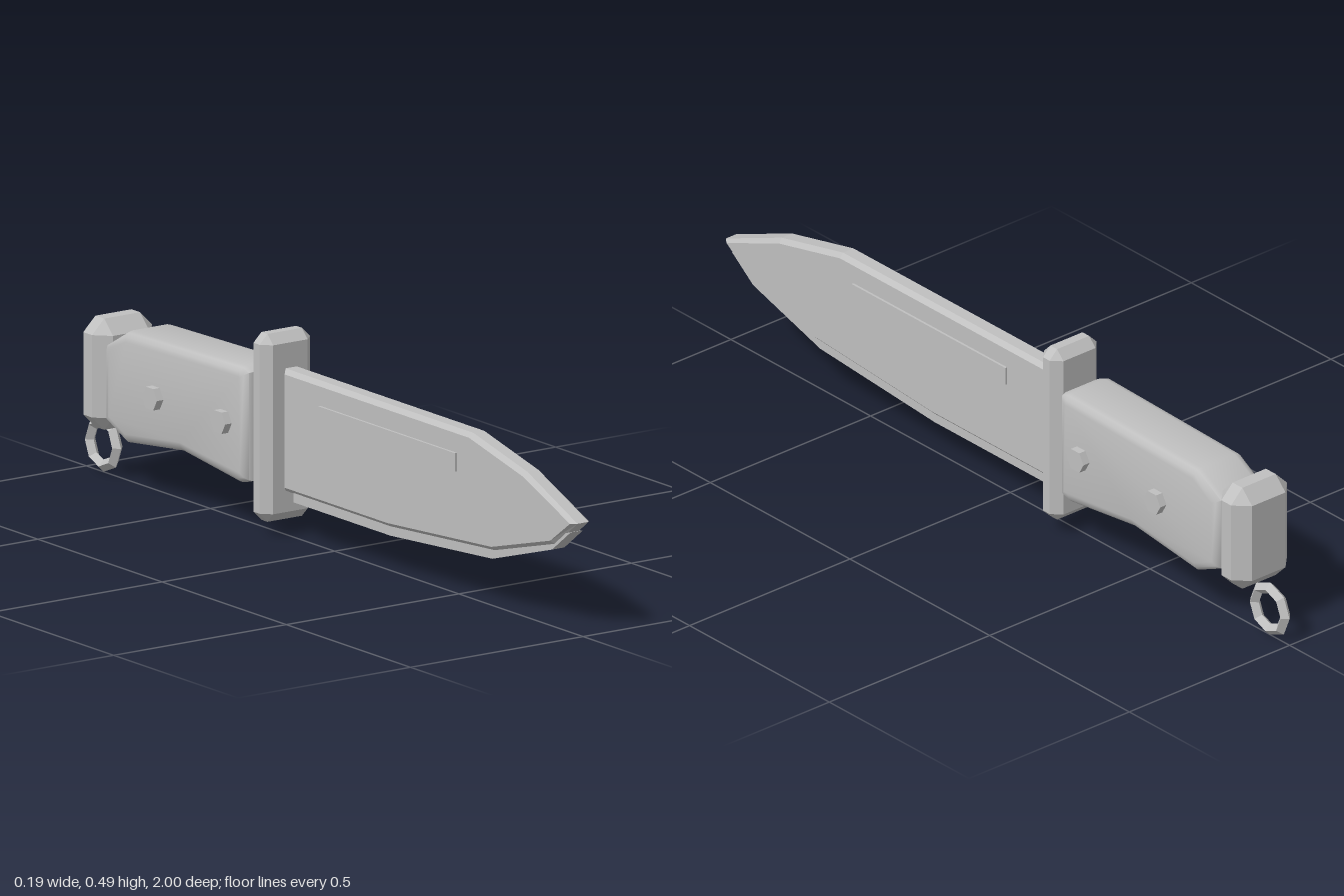
import * as THREE from 'three';
import { toCreasedNormals } from 'three/addons/utils/BufferGeometryUtils.js';
import { ConvexGeometry } from 'three/addons/geometries/ConvexGeometry.js';

// Side outline given as [z, y] points, extruded across x to a half width, with an inward bevel
function sideExtrude(points, halfWidth, bevel = 0, segments = 1) {
  const shape = new THREE.Shape(points.map(([z, y]) => new THREE.Vector2(z, y)));
  const depth = 2 * (halfWidth - bevel);
  const geometry = new THREE.ExtrudeGeometry(shape, {
    depth, bevelEnabled: bevel > 0, bevelSize: bevel, bevelThickness: bevel,
    bevelOffset: -bevel, bevelSegments: segments,
  });
  return geometry.translate(0, 0, -depth / 2).rotateY(-Math.PI / 2);
}

// Box with every edge cut off at 45 degrees
function chamferBox(w, h, d, c) {
  const points = [];
  for (const x of [-1, 1]) for (const y of [-1, 1]) for (const z of [-1, 1]) {
    for (const [a, b, e] of [[0, c, c], [c, 0, c], [c, c, 0]]) {
      points.push(new THREE.Vector3(x * (w / 2 - a), y * (h / 2 - b), z * (d / 2 - e)));
    }
  }
  return new ConvexGeometry(points);
}

export function createModel() {
  const model = new THREE.Group();
  const steel = new THREE.MeshStandardMaterial({ color: 0xbfbfbf });
  steel.name = 'greySteel';

  function add(name, geometry, x = 0, y = 0, z = 0) {
    const mesh = new THREE.Mesh(geometry, steel);
    mesh.name = name;
    mesh.position.set(x, y, z);
    model.add(mesh);
  }

  // Blade with a chamfered rim
  add('blade', sideExtrude([
    [-0.175, 0.113], [0.25, 0.113], [0.67, 0.142], [0.91, 0.207], [1, 0.276],
    [0.8, 0.36], [0.58, 0.41], [-0.175, 0.41],
  ], 0.027, 0.011));

  // Thinner cutting edge showing below the blade
  add('cuttingEdge', sideExtrude([
    [-0.14, 0.092], [0.25, 0.092], [0.66, 0.121], [0.9, 0.193], [0.975, 0.25],
    [0.9, 0.23], [0.66, 0.165], [0.25, 0.13], [-0.14, 0.13],
  ], 0.018));

  // Raised strip on both blade faces
  add('bladeStrip', new THREE.BoxGeometry(0.066, 0.045, 0.55), 0, 0.33, 0.255);

  add('guard', chamferBox(0.146, 0.456, 0.07, 0.023), 0, 0.265, -0.213);

  // Handle with smooth rounded rim
  add('handle', toCreasedNormals(sideExtrude([
    [-0.83, 0.155], [-0.745, 0.117], [-0.52, 0.143], [-0.29, 0.115], [-0.255, 0.125],
    [-0.255, 0.39], [-0.28, 0.4], [-0.745, 0.389], [-0.83, 0.34],
  ], 0.075, 0.024, 3), 0.9));

  // Six-sided pins through the handle
  for (const z of [-0.34, -0.615]) {
    add('pin', new THREE.CylinderGeometry(0.03, 0.03, 0.188, 6).toNonIndexed().rotateZ(Math.PI / 2), 0, 0.257, z);
  }
  model.children.filter((m) => m.name === 'pin').forEach((m) => m.geometry.computeVertexNormals());

  add('pommel', chamferBox(0.174, 0.27, 0.105, 0.035), 0, 0.26, -0.873);

  // Faceted lanyard ring
  const ring = new THREE.TorusGeometry(0.055, 0.015, 4, 8).rotateY(Math.PI / 2).toNonIndexed();
  ring.computeVertexNormals();
  add('lanyardRing', ring, 0, 0.07, -0.93);

  return model;
}
